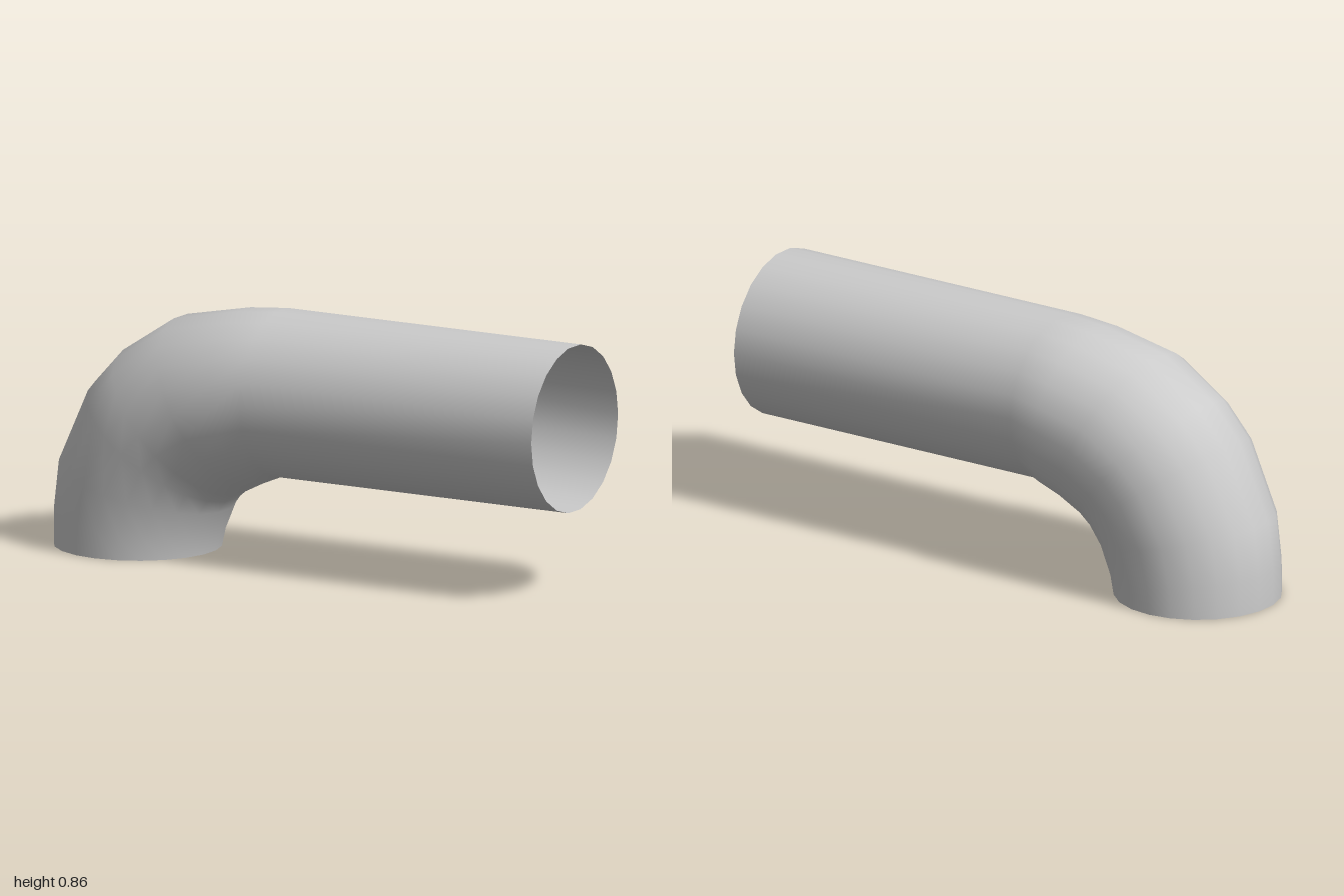
import * as THREE from 'three';

const SIDES = 22;

// Cross-sections along the pipe: outer-bend point, inner-bend point, half width in z
const SECTIONS = [
  [[-1, 0], [-0.435, 0], 0.283],
  [[-1, 0.12], [-0.42, 0.06], 0.283],
  [[-0.98, 0.29], [-0.38, 0.15], 0.288],
  [[-0.86, 0.55], [-0.35, 0.19], 0.298],
  [[-0.75, 0.67], [-0.32, 0.215], 0.302],
  [[-0.55, 0.8], [-0.25, 0.25], 0.305],
  [[-0.3, 0.85], [-0.19, 0.275], 0.3],
  [[-0.15, 0.864], [-0.14, 0.298], 0.285],
  [[1, 0.864], [1, 0.298], 0.283],
];

// Skins a row of oval rings into one smooth open tube
function loftPipe(sections) {
  const positions = [];
  const indices = [];
  const flat = Math.cos(Math.PI / SIDES); // flats, not corners, lie at the bend's outer and inner lines
  for (const [outer, inner, halfWidth] of sections) {
    for (let i = 0; i < SIDES; i++) {
      const a = ((i + 0.5) / SIDES) * Math.PI * 2;
      const t = 0.5 + (0.5 * Math.cos(a)) / flat;
      positions.push(
        inner[0] + (outer[0] - inner[0]) * t,
        inner[1] + (outer[1] - inner[1]) * t,
        halfWidth * Math.sin(a),
      );
    }
  }
  for (let r = 0; r < sections.length - 1; r++) {
    for (let i = 0; i < SIDES; i++) {
      const j = (i + 1) % SIDES;
      const a = r * SIDES + i, b = r * SIDES + j;
      const c = a + SIDES, d = b + SIDES;
      indices.push(a, b, c, b, d, c);
    }
  }
  const geometry = new THREE.BufferGeometry();
  geometry.setAttribute('position', new THREE.Float32BufferAttribute(positions, 3));
  geometry.setIndex(indices);
  geometry.computeVertexNormals();
  return geometry;
}

export function createModel() {
  const group = new THREE.Group();
  group.name = 'pipeElbow';

  // Thin pipe, open at both ends
  const material = new THREE.MeshStandardMaterial({ color: 0xcccccc, side: THREE.DoubleSide });
  const pipe = new THREE.Mesh(loftPipe(SECTIONS), material);
  pipe.name = 'bentPipe';
  group.add(pipe);

  return group;
}
